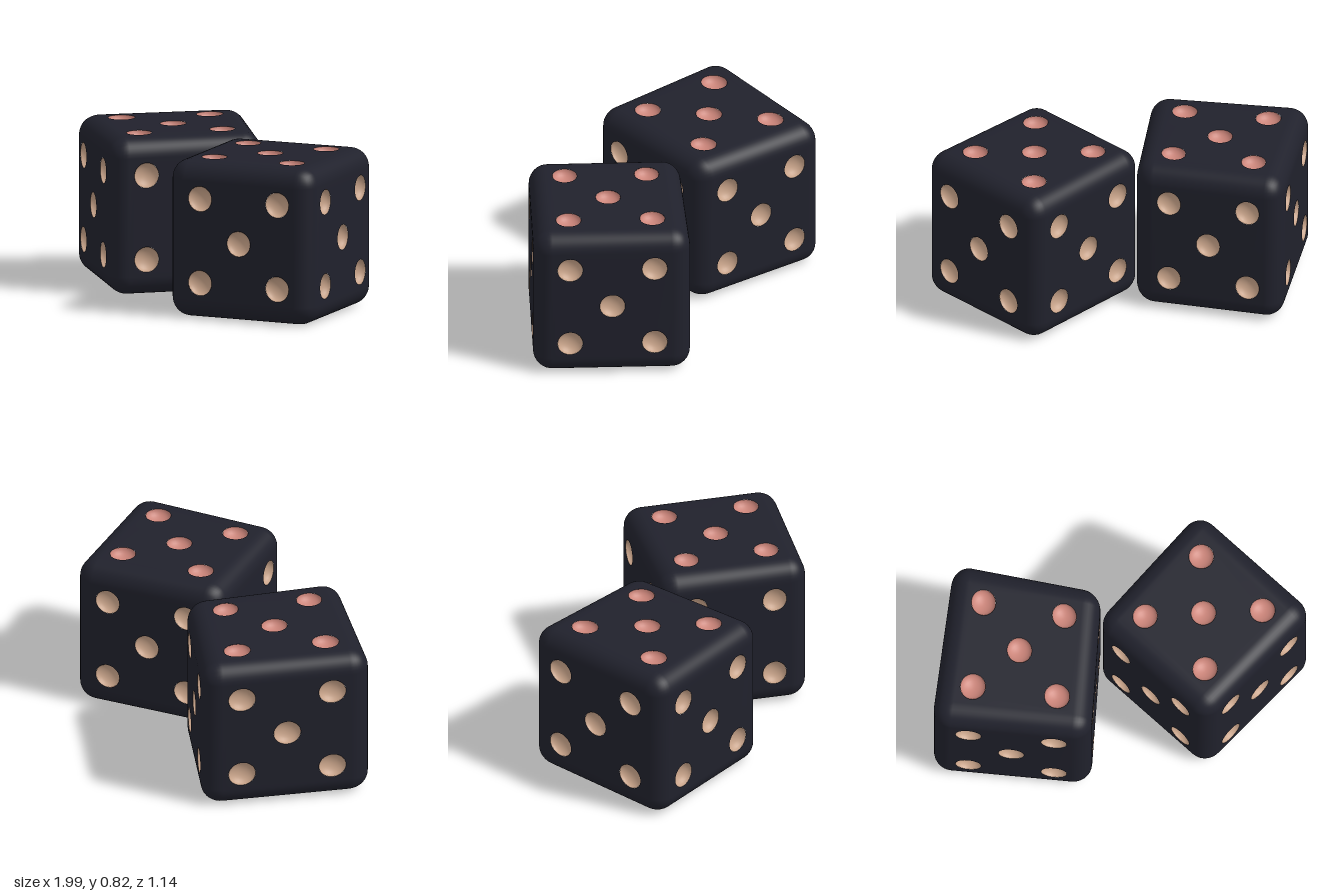
import * as THREE from 'three';
import { mergeGeometries, mergeVertices } from 'three/addons/utils/BufferGeometryUtils.js';
import { RoundedBoxGeometry } from 'three/addons/geometries/RoundedBoxGeometry.js';

const H = 0.41;       // half the die size
const R = 0.1;        // edge rounding
const PIP = 0.066;    // pip radius
const DEPTH = 0.045;  // pip depth
const FIVE = [[0, 0], [-0.22, -0.22], [0.22, -0.22], [-0.22, 0.22], [0.22, 0.22]];

// Turns that carry the +z face to each side of the die
const FACES = [
  { name: 'front', turn: [0, 0] },
  { name: 'left', turn: [0, Math.PI / 2] },
  { name: 'back', turn: [0, Math.PI] },
  { name: 'right', turn: [0, -Math.PI / 2] },
  { name: 'top', turn: [-Math.PI / 2, 0] },
  { name: 'bottom', turn: [Math.PI / 2, 0] },
];

function place(geometry, [rx, ry]) {
  return geometry.rotateX(rx).rotateY(ry);
}

function bare(geometry) {
  const g = geometry.index ? geometry.toNonIndexed() : geometry;
  g.deleteAttribute('uv');
  g.deleteAttribute('normal');
  return g;
}

// Stretch the square plan to four corners, stand it on the ground, smooth it
function warp(geometry, [bl, br, fr, fl]) {
  const g = mergeVertices(bare(geometry), 1e-4);
  const p = g.attributes.position;
  for (let i = 0; i < p.count; i++) {
    const u = p.getX(i) / (2 * H) + 0.5;
    const v = p.getZ(i) / (2 * H) + 0.5;
    const mix = k => (1 - v) * ((1 - u) * bl[k] + u * br[k]) + v * ((1 - u) * fl[k] + u * fr[k]);
    p.setXYZ(i, mix(0), p.getY(i) + H, mix(1));
  }
  g.computeVertexNormals();
  return g;
}

// Rounded edges and corners only: the flat middle of each side is left out
function roundedFrame() {
  const box = bare(new RoundedBoxGeometry(2 * H, 2 * H, 2 * H, 5, R));
  const a = box.attributes.position.array;
  const keep = [];
  for (let i = 0; i < a.length; i += 9) {
    const flat = [0, 1, 2].some(k =>
      [1, -1].some(s => [0, 3, 6].every(j => Math.abs(a[i + j + k] - s * H) < 1e-5)));
    if (!flat) keep.push(...a.slice(i, i + 9));
  }
  return new THREE.BufferGeometry().setAttribute('position', new THREE.Float32BufferAttribute(keep, 3));
}

// Flat side pierced by the pips
function piercedSide(pips) {
  const s = H - R;
  const shape = new THREE.Shape([[-s, -s], [s, -s], [s, s], [-s, s]].map(q => new THREE.Vector2(...q)));
  for (const [x, y] of pips) {
    shape.holes.push(new THREE.Path().absarc(x, y, PIP, 0, Math.PI * 2, true));
  }
  return new THREE.ShapeGeometry(shape, 24).translate(0, 0, H);
}

// Hollow bowl, open towards +z
function pipBowl(x, y) {
  const profile = [];
  for (let i = 0; i <= 7; i++) {
    const t = (i / 7) * Math.PI / 2;
    profile.push(new THREE.Vector2(i === 7 ? 0 : PIP * Math.cos(t), -DEPTH * Math.sin(t)));
  }
  return new THREE.LatheGeometry(profile, 24).rotateX(Math.PI / 2).translate(x, y, H);
}

function createDie(name, corners, extraBottom, mats) {
  const die = new THREE.Group();
  die.name = name;
  const shell = [roundedFrame()];
  for (const { name: side, turn } of FACES) {
    const pips = side === 'bottom' ? [...FIVE, ...extraBottom] : FIVE;
    shell.push(bare(place(piercedSide(pips), turn)));
    const bowls = mergeGeometries(pips.map(q => bare(place(pipBowl(...q), turn))));
    const mat = side === 'top' || side === 'bottom' ? mats.pink : mats.tan;
    const mesh = new THREE.Mesh(warp(bowls, corners), mat);
    mesh.name = side + 'Pips';
    die.add(mesh);
  }
  const body = new THREE.Mesh(warp(mergeGeometries(shell), corners), mats.body);
  body.name = 'body';
  die.add(body);
  return die;
}

export function createModel() {
  const material = (name, color) => {
    const m = new THREE.MeshStandardMaterial({ color });
    m.name = name;
    return m;
  };
  const mats = {
    body: material('dark navy', 0x20212c),
    tan: material('tan', 0xc9a48a),
    pink: material('dusty pink', 0xcc857a),
  };

  const model = new THREE.Group();
  model.name = 'pairOfDice';
  // Plan corners (x, z): back-left, back-right, front-right, front-left in plan
  model.add(
    createDie('rightDie', [[-0.65, -0.615], [0.025, -0.235], [-0.275, 0.51], [-1.03, 0.18]], [], mats),
    createDie('leftDie', [[-0.06, -0.08], [0.636, -0.5], [1.028, 0.21], [0.317, 0.6]], [[0.12, -0.12]], mats),
  );
  return model;
}
